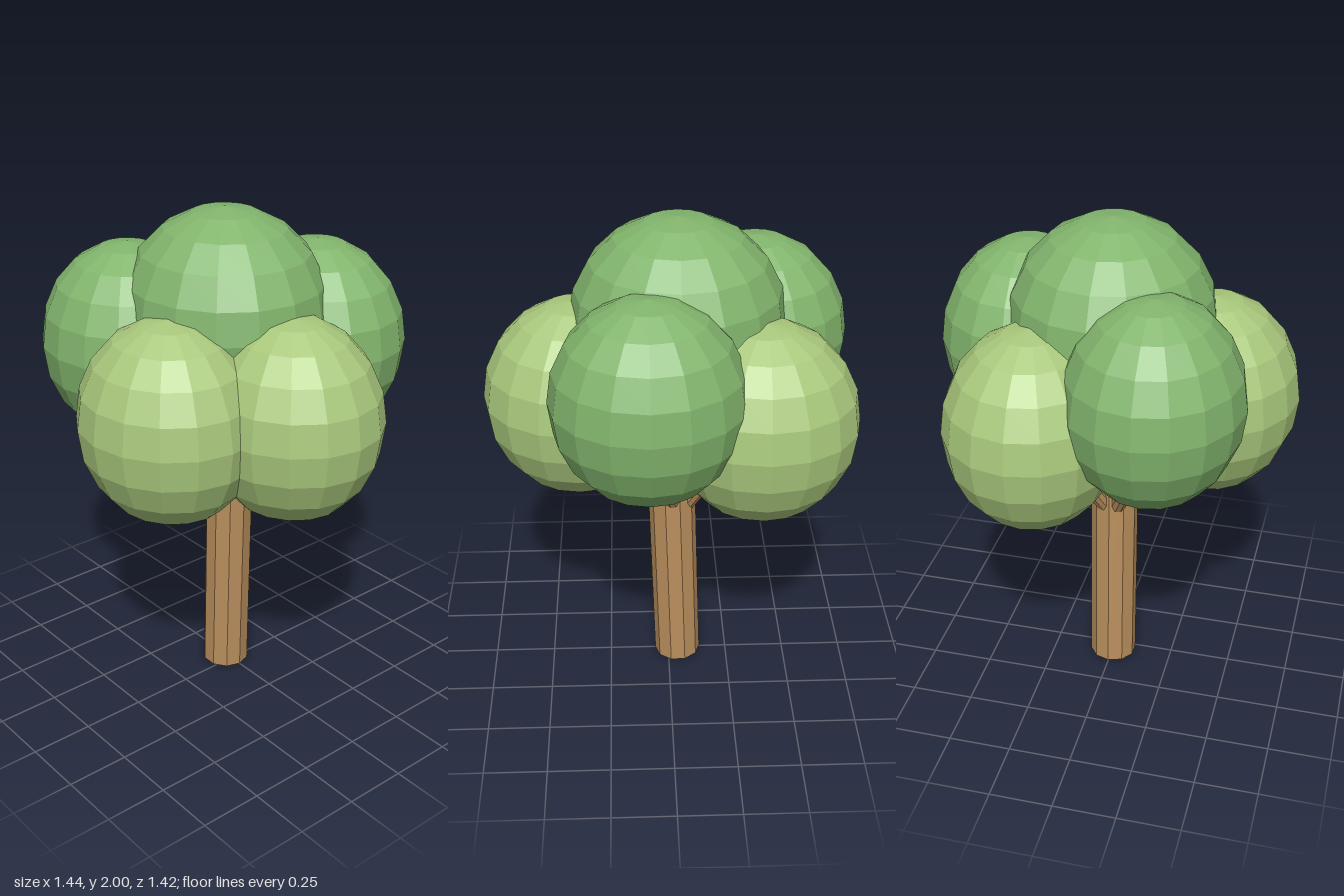
import * as THREE from 'three';

const flat = (color) => new THREE.MeshStandardMaterial({ color, flatShading: true });

export function createModel() {
  const bark = flat(0xba8f5d);
  const lightLeaf = flat(0xa9c87c);
  const darkLeaf = flat(0x82b56d);
  const tree = new THREE.Group();
  tree.name = 'tree';
  const cx = -0.037; // centre of the crown

  // A faceted rod between two points
  function rod(name, from, to, radius, sides) {
    const dir = to.clone().sub(from);
    const geo = new THREE.CylinderGeometry(radius, radius, dir.length(), sides);
    geo.rotateY(Math.PI / 2);
    const mesh = new THREE.Mesh(geo, bark);
    mesh.name = name;
    mesh.position.copy(from).add(to).multiplyScalar(0.5);
    mesh.quaternion.setFromUnitVectors(new THREE.Vector3(0, 1, 0), dir.normalize());
    tree.add(mesh);
  }

  // A faceted ellipsoid of leaves
  function foliage(name, x, y, z, rx, ry, rz, material) {
    const mesh = new THREE.Mesh(new THREE.SphereGeometry(1, 16, 10), material);
    mesh.name = name;
    mesh.position.set(x, y, z);
    mesh.scale.set(rx, ry, rz);
    tree.add(mesh);
  }

  // Slightly leaning trunk
  rod('trunk', new THREE.Vector3(-0.04, 0.003, 0), new THREE.Vector3(0, 1.3, 0), 0.096, 10);

  // Five branches, each pointing at its own clump of leaves
  const darkClump = [false, false, true, false, true];
  darkClump.forEach((dark, i) => {
    const a = (i * Math.PI * 2) / 5;
    const at = (r, y) => new THREE.Vector3(cx + r * Math.cos(a), y, r * Math.sin(a));
    rod('branch' + (i + 1), at(0, 0.705), at(0.17, 0.965), 0.034, 10);
    const p = at(0.387, dark ? 1.435 : 1.27);
    foliage('leafClump' + (i + 1), p.x, p.y, p.z, 0.37, 0.402, 0.343, dark ? darkLeaf : lightLeaf);
  });

  // Crown on top
  foliage('topLeafClump', cx, 1.59, 0, 0.415, 0.41, 0.4, darkLeaf);

  return tree;
}
